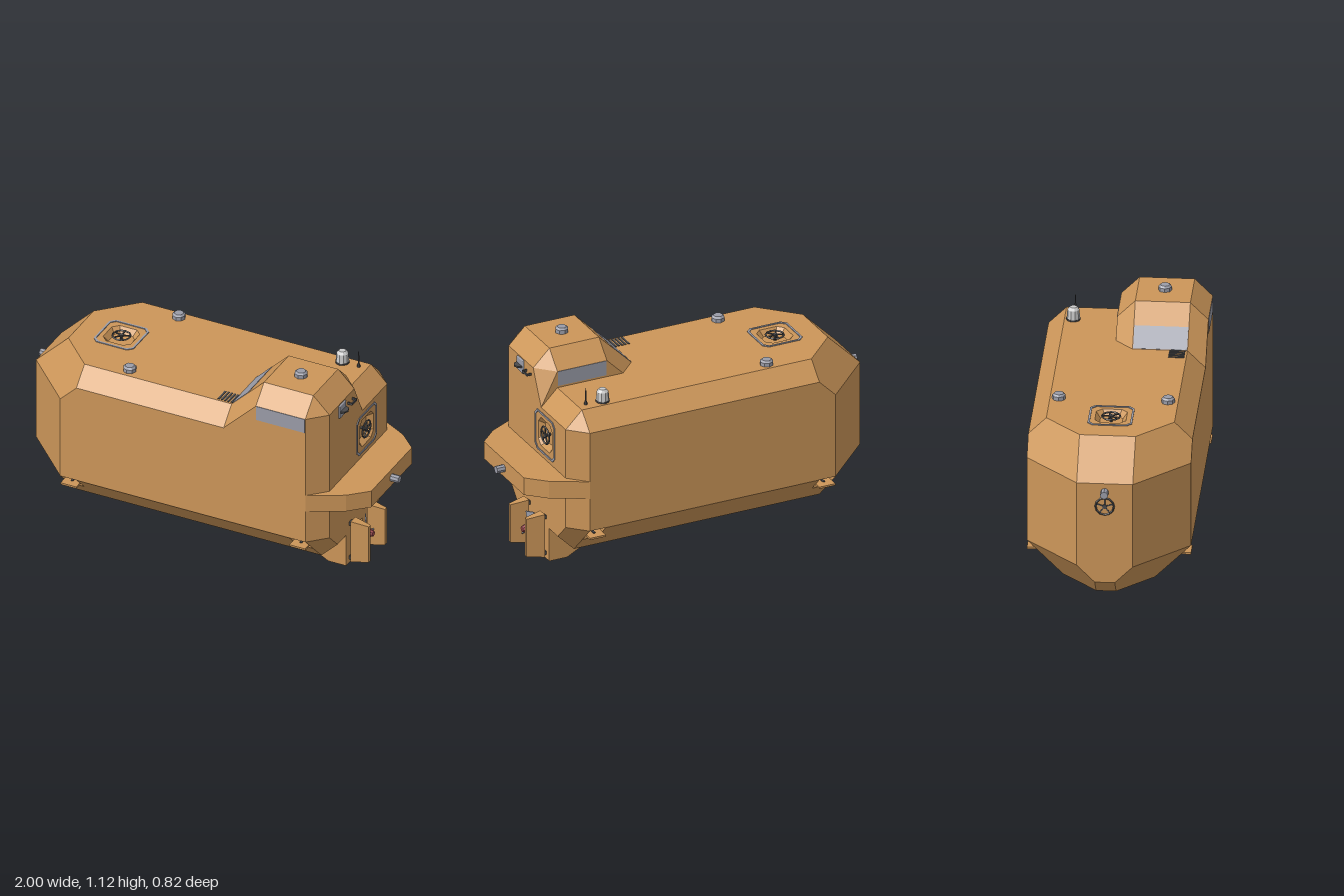
import * as THREE from 'three';
import { ConvexGeometry } from 'three/addons/geometries/ConvexGeometry.js';
import { RoundedBoxGeometry } from 'three/addons/geometries/RoundedBoxGeometry.js';

const mat = (color, side = THREE.FrontSide) => new THREE.MeshStandardMaterial({ color, side, flatShading: true });
const TAN = mat(0xcc9659), TAN2 = mat(0xcc9659, THREE.DoubleSide), NICHE = mat(0xcc9659, THREE.BackSide);
const GREY = mat(0x9a9ca8), LIGHT = mat(0xcccccc), DARK = mat(0x4a4a4c), RED = mat(0xa04a50);

const V = (x, y, z) => new THREE.Vector3(x, y, z);
const toShape = pts => new THREE.Shape(pts.map(p => new THREE.Vector2(...p)));

// Square with cut corners, half size h and corner cut c
const cutSquare = (h, c, ox = 0, oy = 0) => [[h, c - h], [h, h - c], [h - c, h], [c - h, h],
  [-h, h - c], [-h, c - h], [c - h, -h], [h - c, -h]].map(([x, y]) => [x + ox, y + oy]);

function extrude(pts, depth, hole) {
  const s = toShape(pts);
  if (hole) s.holes.push(toShape(hole));
  return new THREE.ExtrudeGeometry(s, { depth, bevelEnabled: false });
}

// Convex solid, optionally without the faces that look along given directions
function solid(points, skip = []) {
  const g = new ConvexGeometry(points), p = g.attributes.position, keep = [];
  for (let i = 0; i < p.count; i += 3) {
    const t = [0, 1, 2].map(k => V().fromBufferAttribute(p, i + k));
    const n = new THREE.Triangle(...t).getNormal(V());
    if (!skip.some(d => d.dot(n) > 0.999)) keep.push(...t);
  }
  const out = new THREE.BufferGeometry().setFromPoints(keep);
  out.computeVertexNormals();
  return out;
}

// Strip between two rings of eight points
function band(a, za, b, zb) {
  const pts = [];
  a.forEach((p, i) => {
    const j = (i + 1) % a.length;
    const A = V(...p, za), B = V(...a[j], za), C = V(...b[j], zb), D = V(...b[i], zb);
    pts.push(A, B, C, A, C, D);
  });
  const g = new THREE.BufferGeometry().setFromPoints(pts);
  g.computeVertexNormals();
  return g;
}

export function createModel() {
  const root = new THREE.Group();
  const add = (name, geo, m, x = 0, y = 0, z = 0, parent = root) => {
    const o = new THREE.Mesh(geo, m);
    o.name = name;
    o.position.set(x, y, z);
    parent.add(o);
    return o;
  };
  const box = (name, m, w, h, d, x, y, z, parent) => add(name, new THREE.BoxGeometry(w, h, d), m, x, y, z, parent);

  // Main hull with cut corners
  const pts = [];
  for (const s of [1, -1]) {
    pts.push(V(-.955, .73, .14 * s), V(-.685, .73, .41 * s), V(-.595, .82, .41 * s), V(-.595, .91, .32 * s),
      V(-.775, .91, .14 * s), V(-.955, .275, .14 * s), V(-.955, .185, .05 * s), V(-.865, .095, .05 * s),
      V(-.685, .275, .41 * s), V(-.685, .095, .23 * s), V(.68, .275, .41 * s), V(.77, .275, .32 * s),
      V(.77, .185, .23 * s), V(.68, .095, .23 * s), V(.68, .82, .41 * s), V(.77, .82, .32 * s), V(.68, .91, .32 * s));
  }
  const r = Math.SQRT1_2;
  add('hull', solid(pts, [V(0, 1, 0), V(1, 0, 0), V(0, -r, r), V(0, -r, -r)]), TAN2);

  // Deck and stern wall, each opened for a hatch
  const deck = toShape([[-.775, -.14], [-.595, -.32], [.68, -.32], [.68, .32], [-.595, .32], [-.775, .14]]);
  deck.holes.push(toShape(cutSquare(.078, .03, -.55, 0)));
  add('deck', new THREE.ShapeGeometry(deck), TAN2, 0, .91, 0).rotation.x = -Math.PI / 2;
  const stern = toShape([[-.32, .82], [-.32, .275], [-.23, .185], [.23, .185], [.32, .275], [.32, .82]]);
  stern.holes.push(toShape(cutSquare(.078, .03, .09, .685)));
  add('sternWall', new THREE.ShapeGeometry(stern), TAN2, .77, 0, 0).rotation.y = Math.PI / 2;

  // Lower side slopes with thruster niches at both ends
  for (const s of [1, -1]) {
    const slope = new THREE.ShapeGeometry(toShape([[-.685, .095], [.68, .095], [.68, .19], [.59, .19],
      [.59, .275], [-.595, .275], [-.595, .19], [-.685, .19]]));
    const p = slope.attributes.position;
    for (let i = 0; i < p.count; i++) p.setZ(i, s * (p.getY(i) + .135));
    slope.computeVertexNormals();
    add('lowerSlope', slope, TAN2);
    for (const x of [-.64, .635]) {
      const tri = s > 0 ? [[-.325, .19], [-.325, .275], [-.41, .275]] : [[.325, .19], [.41, .275], [.325, .275]];
      add('thrusterNiche', extrude(tri, .09), NICHE, x - .045, 0, 0).rotation.y = Math.PI / 2;
      box('thrusterPlate', TAN, .088, .01, .085, x, .23, .3675 * s);
      box('thrusterPin', DARK, .012, .02, .04, x, .23, .35 * s);
    }
  }

  // Offset tower
  add('tower', solid([V(.225, .82, .41), V(.225, .91, .32), V(.225, .91, .045), V(.315, .91, -.045),
    V(.68, .91, -.045), V(.77, .82, -.045), V(.77, .82, .32), V(.68, .82, .41), V(.405, 1, .41), V(.405, 1.09, .32),
    V(.405, 1.09, .045), V(.405, 1, -.045), V(.68, 1, .41), V(.77, 1, .32), V(.77, 1, .045), V(.77, .91, .045),
    V(.68, 1, -.045), V(.68, 1.09, .32), V(.68, 1.09, .045)]), TAN);
  for (const z of [.41, -.045]) box('sideWindow', GREY, .27, .08, .004, .543, .96, z);
  box('frontWindow', GREY, .122, .004, .27, .27, .955, .183).rotation.z = Math.PI / 4;

  // Stern shelf
  add('sternShelf', extrude([[.68, -.41], [.86, -.315], [.955, -.225], [.955, .225], [.86, .315], [.68, .41]], .095),
    TAN, 0, .455, 0).rotation.x = -Math.PI / 2;

  // Hand wheel, facing local +z
  const wheel = (parent, z) => {
    const g = new THREE.Group();
    g.name = 'handWheel';
    g.position.z = z;
    parent.add(g);
    add('rim', new THREE.TorusGeometry(.046, .005, 4, 12), DARK, 0, 0, 0, g);
    add('hub', new THREE.CylinderGeometry(.012, .012, .01, 8), DARK, 0, 0, 0, g).rotation.x = Math.PI / 2;
    for (let i = 0; i < 5; i++) {
      const a = Math.PI / 2 + i * Math.PI * .4;
      box('spoke', DARK, .046, .006, .006, .023 * Math.cos(a), .023 * Math.sin(a), 0, g).rotation.z = a;
    }
  };
  // Recessed hatches on deck and stern
  const hatch = (x, y, z, rx, ry) => {
    const g = new THREE.Group();
    g.name = 'hatch';
    g.position.set(x, y, z);
    g.rotation.set(rx, ry, 0);
    root.add(g);
    const outer = cutSquare(.078, .03), inner = cutSquare(.056, .021);
    add('frame', extrude(cutSquare(.111, .025), .004, cutSquare(.101, .022)), GREY, 0, 0, 0, g);
    add('recess', band(outer, 0, inner, -.03), TAN2, 0, 0, 0, g);
    add('cover', new THREE.ShapeGeometry(toShape(inner)), TAN2, 0, 0, -.03, g);
    add('wheelPost', new THREE.CylinderGeometry(.008, .008, .03, 8), DARK, 0, 0, -.015, g).rotation.x = Math.PI / 2;
    wheel(g, 0);
  };
  hatch(-.55, .91, 0, -Math.PI / 2, 0);
  hatch(.77, .685, -.09, 0, Math.PI / 2);

  // Bow wheel and end lights
  const bow = new THREE.Group();
  bow.name = 'bowWheel';
  bow.position.set(-.955, .605, 0);
  bow.rotation.y = -Math.PI / 2;
  root.add(bow);
  wheel(bow, 0);
  for (const [x, y] of [[-.975, .685], [.975, .503]])
    add('endLight', new THREE.CylinderGeometry(.02, .02, .05, 8), GREY, x, y, 0).rotation.z = Math.PI / 2;

  // Deck lights
  for (const [x, y, z] of [[-.368, .91, .27], [-.368, .91, -.275], [.543, 1.09, .183]]) {
    add('deckLight', new THREE.CylinderGeometry(.034, .034, .02, 8), GREY, x, y + .01, z);
    add('deckLightCap', new THREE.CylinderGeometry(.024, .034, .01, 8), GREY, x, y + .025, z);
  }

  // Sensor dome and antenna
  add('domeBase', new THREE.CylinderGeometry(.036, .036, .008, 10), DARK, .543, .914, -.275);
  add('dome', new THREE.CylinderGeometry(.03, .034, .05, 10), LIGHT, .543, .94, -.275);
  add('domeTop', new THREE.CylinderGeometry(.018, .03, .014, 10), LIGHT, .543, .972, -.275);
  add('antennaBase', new THREE.CylinderGeometry(.005, .01, .02, 6), DARK, .635, .92, -.272);
  add('antenna', new THREE.CylinderGeometry(.002, .005, .08, 6), DARK, .635, .96, -.272);

  // Tower stern lamp and handle
  add('lampPlate', new RoundedBoxGeometry(.014, .074, .074, 2, .006), GREY, .771, .957, .183);
  add('lampHood', new THREE.CylinderGeometry(.034, .034, .008, 8), DARK, .773, .957, .183);
  box('handleBar', DARK, .006, .012, .055, .793, .955, .092);
  for (const z of [.068, .116]) box('handlePost', DARK, .025, .012, .007, .782, .955, z);

  // Grilles on the deck and under the keel
  for (let i = 0; i < 5; i++) box('deckVent', DARK, .01, .004, .08, .146 + i * .018, .911, .27);
  for (let i = 0; i < 4; i++) box('keelVent', DARK, .012, .006, .34, .21 + i * .026, .095, 0);

  // Twin skegs with rudders
  for (const z of [.09, -.09]) {
    add('skeg', extrude([[.49, .1], [.67, .004], [.77, .004], [.77, .187], [.49, .187]], .09), TAN, 0, 0, z - .045);
    const rudder = [];
    for (const s of [1, -1]) rudder.push(V(.785, .02, z + .026 * s), V(.785, .258, z + .026 * s),
      V(.878, .035, z + .01 * s), V(.878, .245, z + .01 * s));
    add('rudder', solid(rudder), TAN);
    for (const y of [.035, .235]) box('rudderHinge', DARK, .02, .02, .025, .778, y, z);
  }

  // Propeller
  const prop = new THREE.Group();
  prop.name = 'propeller';
  prop.position.set(.81, .14, 0);
  prop.rotation.y = Math.PI / 2;
  root.add(prop);
  const axial = (name, r1, r2, len, m, z) =>
    add(name, new THREE.CylinderGeometry(r1, r2, len, 8), m, 0, 0, z, prop).rotation.x = Math.PI / 2;
  axial('shaftHousing', .028, .046, .06, GREY, -.045);
  axial('hub', .022, .025, .05, GREY, 0);
  axial('hubCap', .014, .022, .02, RED, .035);
  for (let i = 0; i < 3; i++) {
    const arm = new THREE.Group();
    arm.rotation.z = i * Math.PI * 2 / 3;
    prop.add(arm);
    add('blade', extrude([[-.012, .01], [.012, .01], [.03, .075], [.022, .092], [-.026, .085]], .006), GREY, 0, 0, -.003, arm)
      .rotation.y = .5;
  }
  return root;
}
